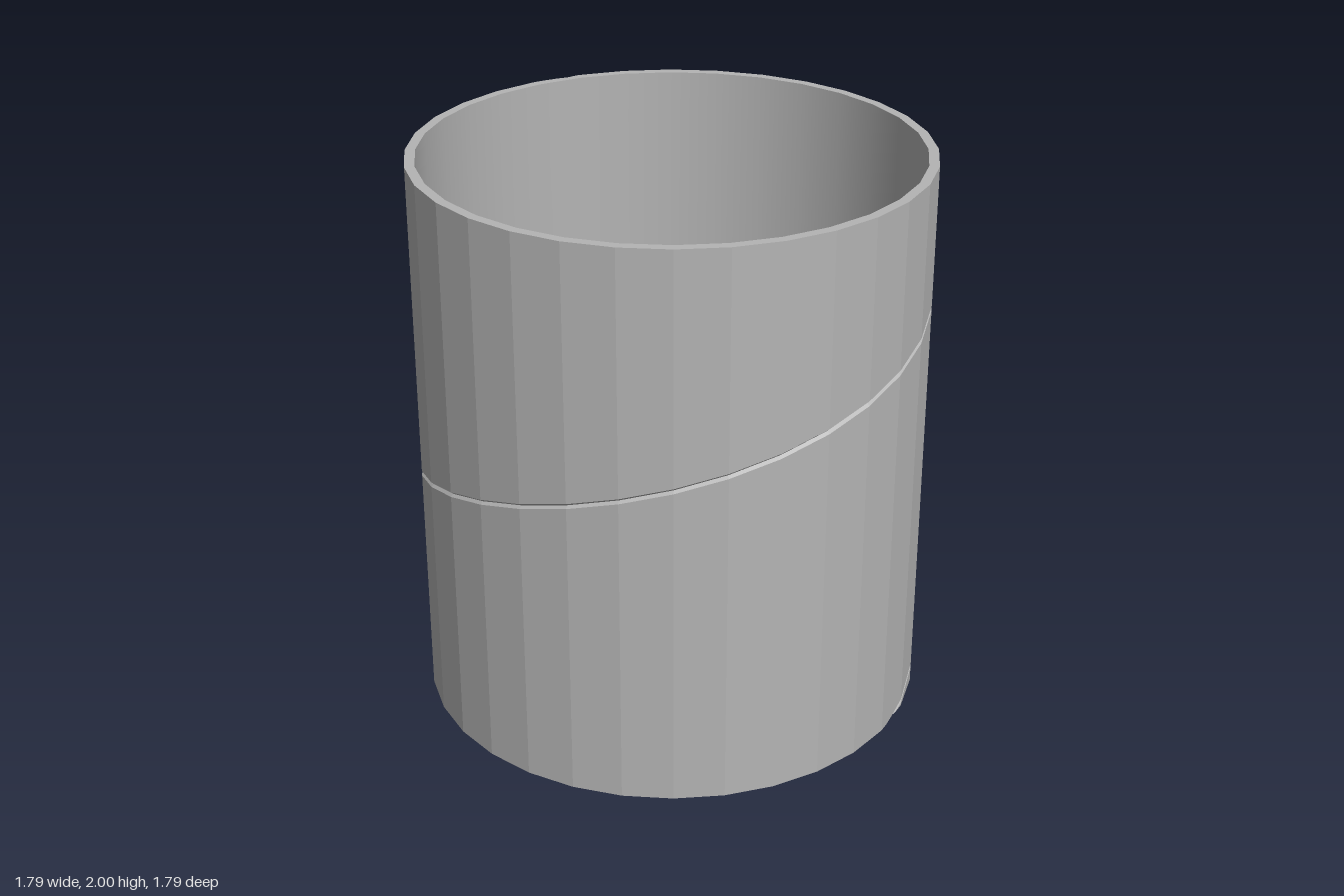
import * as THREE from 'three';

const SIDES = 32, SUB = 4;            // facets, and columns per facet
const OUTER = 0.895, INNER = 0.86, HEIGHT = 2;
const PITCH = 1.43, START = -0.07;    // helical seam
const HALF_WIDTH = 0.009, DEPTH = 0.01;

// Closed outline of the wall at one angle: bottom rim, outside with seam grooves, top rim
function wallColumn(step) {
  const a = (step / (SIDES * SUB)) * Math.PI * 2;
  const facet = Math.PI / SIDES;
  const local = ((step % SUB) / SUB) * 2 * facet - facet;
  const chord = Math.cos(facet) / Math.cos(local);   // keeps each facet flat
  const seams = [0, 1].map(k => START + PITCH * (a / (Math.PI * 2) + k));
  const groove = y => Math.max(...seams.map(h => Math.max(0, 1 - Math.abs(y - h) / HALF_WIDTH))) * DEPTH;
  const levels = [0];
  for (const h of seams) levels.push(h - HALF_WIDTH, h, h + HALF_WIDTH);
  levels.push(HEIGHT);
  const outline = levels.map(v => {
    const y = THREE.MathUtils.clamp(v, 0, HEIGHT);
    return [OUTER - groove(y), y];
  });
  outline.unshift([INNER, 0]);
  outline.push([INNER, HEIGHT]);
  return outline.map(([r, y]) => new THREE.Vector3(Math.sin(a) * r * chord, y, Math.cos(a) * r * chord));
}

function buildWall() {
  const positions = [];
  const face = (a, b, c) => {
    if (new THREE.Triangle(a, b, c).getArea() < 1e-9) return;
    for (const v of [a, b, c]) positions.push(v.x, v.y, v.z);
  };
  for (let i = 0; i < SIDES * SUB; i++) {
    const near = wallColumn(i), far = wallColumn(i + 1);
    for (let p = 0; p < near.length - 1; p++) {
      face(near[p], far[p], far[p + 1]);
      face(near[p], far[p + 1], near[p + 1]);
    }
  }
  const geometry = new THREE.BufferGeometry();
  geometry.setAttribute('position', new THREE.Float32BufferAttribute(positions, 3));
  geometry.computeVertexNormals();   // separate triangles give flat facets
  return geometry;
}

export function createModel() {
  const model = new THREE.Group();
  model.name = 'spiralSeamPipe';
  const steel = new THREE.MeshStandardMaterial({ color: 0xb4b4b4 });
  steel.name = 'steelGrey';

  // Outside wall with rims and the helical seam
  const wall = new THREE.Mesh(buildWall(), steel);
  wall.name = 'outerWall';

  // Smooth bore; the profile runs downward so it faces the axis
  const bore = new THREE.Mesh(
    new THREE.LatheGeometry([new THREE.Vector2(INNER, HEIGHT), new THREE.Vector2(INNER, 0)], SIDES), steel);
  bore.name = 'innerWall';

  model.add(wall, bore);
  return model;
}
